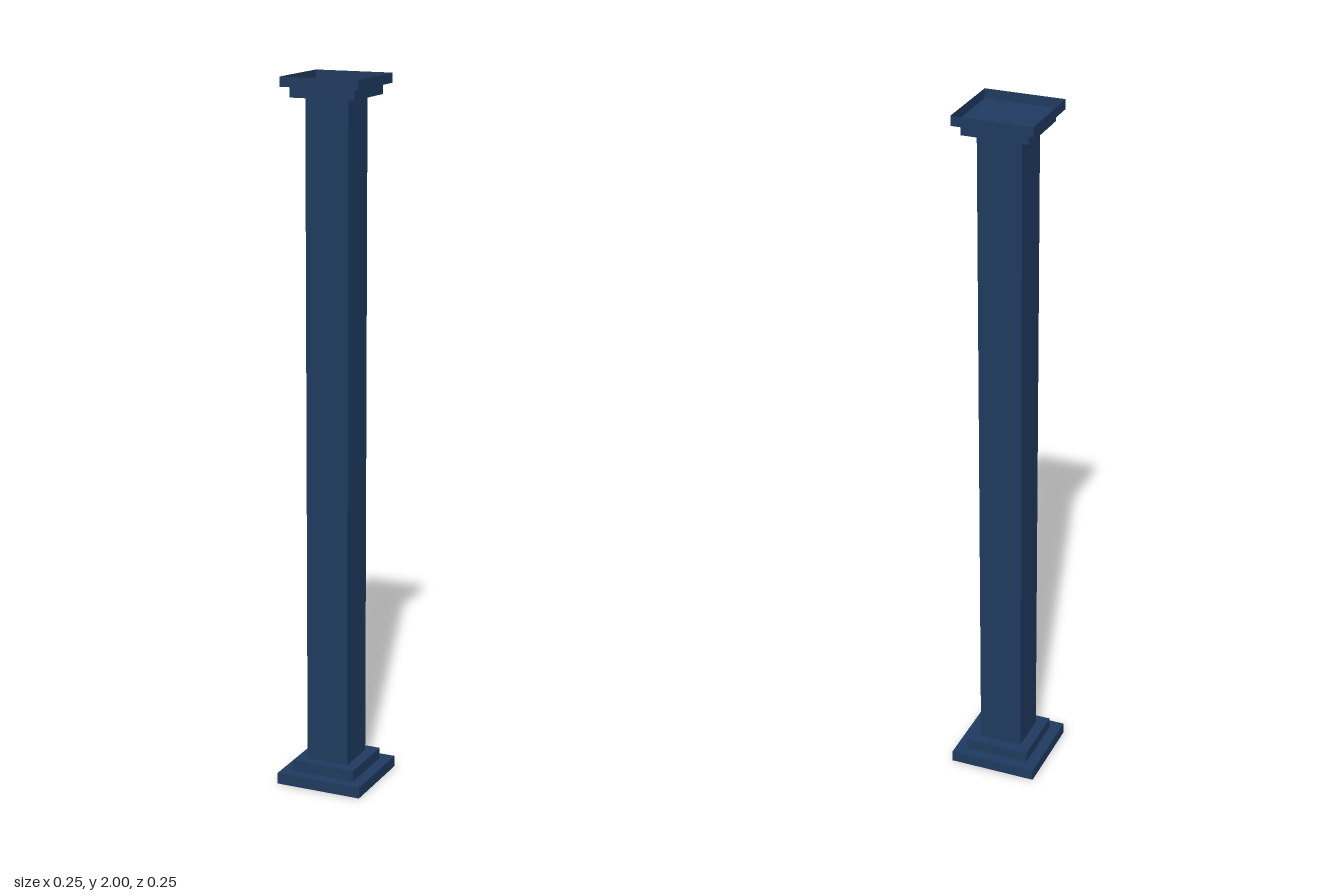
import * as THREE from 'three';

// Index of each face in a BoxGeometry's face order
const TOP = 2;
const BOTTOM = 3;

export function createModel() {
  const model = new THREE.Group();
  model.name = 'column';

  const navy = new THREE.MeshStandardMaterial({ color: 0x1f3a5f, side: THREE.DoubleSide });
  navy.name = 'navy';

  // Square block between two heights; openFace leaves one face out
  function addBlock(name, halfWidth, y0, y1, openFace = -1) {
    const geometry = new THREE.BoxGeometry(halfWidth * 2, y1 - y0, halfWidth * 2);
    if (openFace >= 0) {
      const index = Array.from(geometry.index.array);
      index.splice(openFace * 6, 6);
      geometry.setIndex(index);
      geometry.clearGroups();
    }
    const mesh = new THREE.Mesh(geometry, navy);
    mesh.name = name;
    mesh.position.y = (y0 + y1) / 2;
    model.add(mesh);
  }

  // Stepped base, hollow underneath
  addBlock('basePlinth', 0.127, 0, 0.032, BOTTOM);
  addBlock('baseStep', 0.094, 0.032, 0.064);

  // Square shaft
  addBlock('shaft', 0.0625, 0.064, 1.944);

  // Stepped capital, open on top like a shallow tray
  addBlock('capitalStep', 0.094, 1.944, 1.973);
  addBlock('capitalTray', 0.113, 1.973, 2, TOP);

  return model;
}
